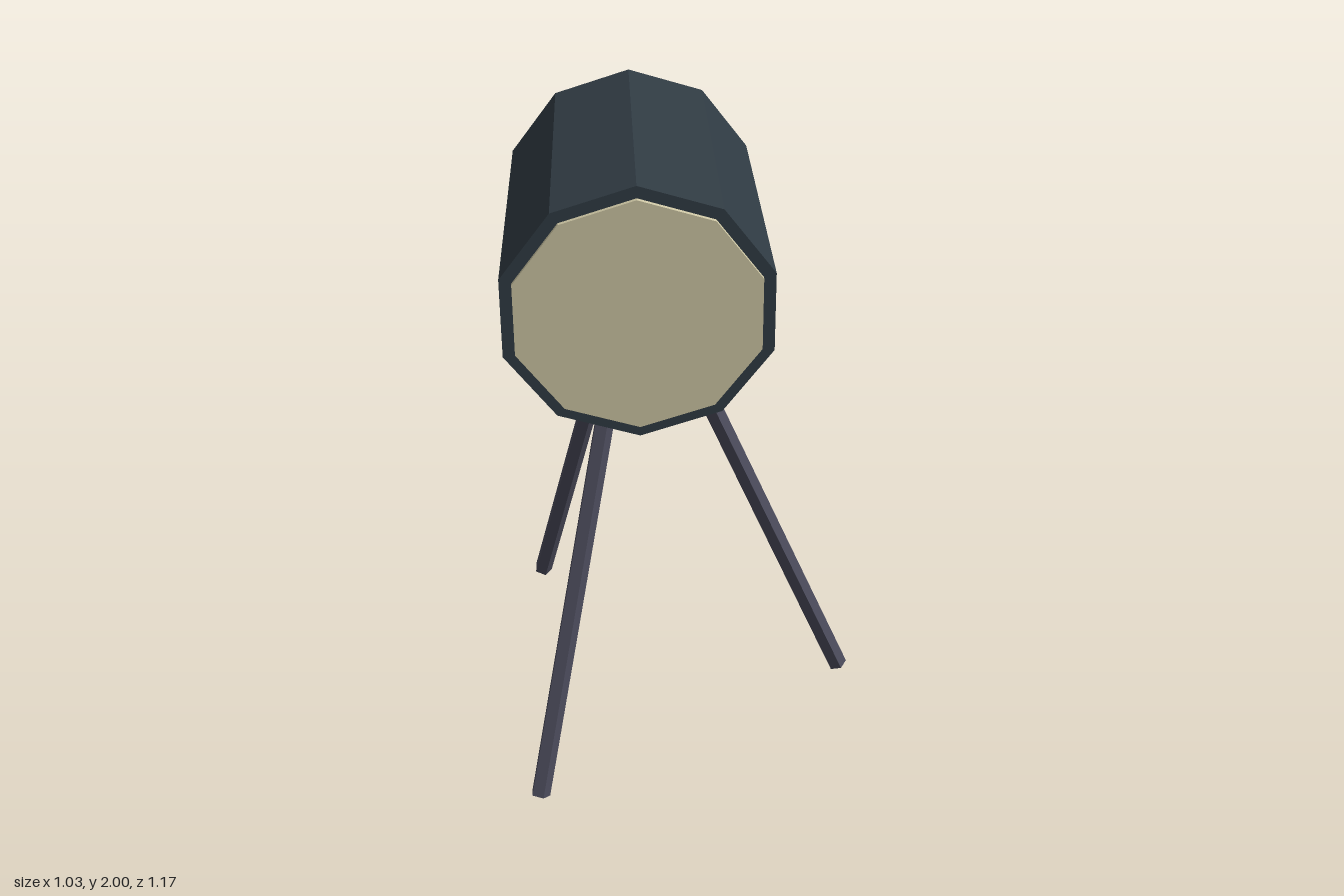
import * as THREE from 'three';

export function createModel() {
  const model = new THREE.Group();
  const makeMaterial = (name, color) => {
    const m = new THREE.MeshStandardMaterial({ color, flatShading: true });
    m.name = name;
    return m;
  };
  const housingMat = makeMaterial('dark slate', 0x303b43);
  const lensMat = makeMaterial('pale cream', 0xcdc6a4);
  const legMat = makeMaterial('grey violet', 0x4b4b5b);

  const axisX = -0.155, axisY = 1.618;

  // Ten-sided barrel along z
  const barrel = (name, rFront, rBack, zFront, zBack, material) => {
    const geo = new THREE.CylinderGeometry(rFront, rBack, zFront - zBack, 10);
    geo.rotateX(Math.PI / 2);
    const mesh = new THREE.Mesh(geo, material);
    mesh.name = name;
    mesh.position.set(axisX, axisY, (zFront + zBack) / 2);
    model.add(mesh);
  };

  // Tapered lamp housing and its front lens
  barrel('housing', 0.381, 0.358, 0.452, -0.318, housingMat);
  barrel('lens', 0.346, 0.346, 0.463, 0.44, lensMat);

  // Three five-sided legs splayed evenly from a point inside the housing
  const up = new THREE.Vector3(0, 1, 0);
  for (let i = 0; i < 3; i++) {
    const a = (i * Math.PI * 2) / 3;
    const at = (r, y) => new THREE.Vector3(axisX + r * Math.cos(a), y, r * Math.sin(a));
    const foot = at(0.642, 0.011);
    const top = at(0.06, 1.43);
    const dir = top.clone().sub(foot);
    const geo = new THREE.CylinderGeometry(0.03, 0.03, dir.length(), 5, 1, false, Math.PI / 2);
    const leg = new THREE.Mesh(geo, legMat);
    leg.name = ['leftLeg', 'frontRightLeg', 'backRightLeg'][i];
    leg.position.copy(foot).add(top).multiplyScalar(0.5);
    leg.quaternion.setFromUnitVectors(up, dir.normalize());
    model.add(leg);
  }

  return model;
}
